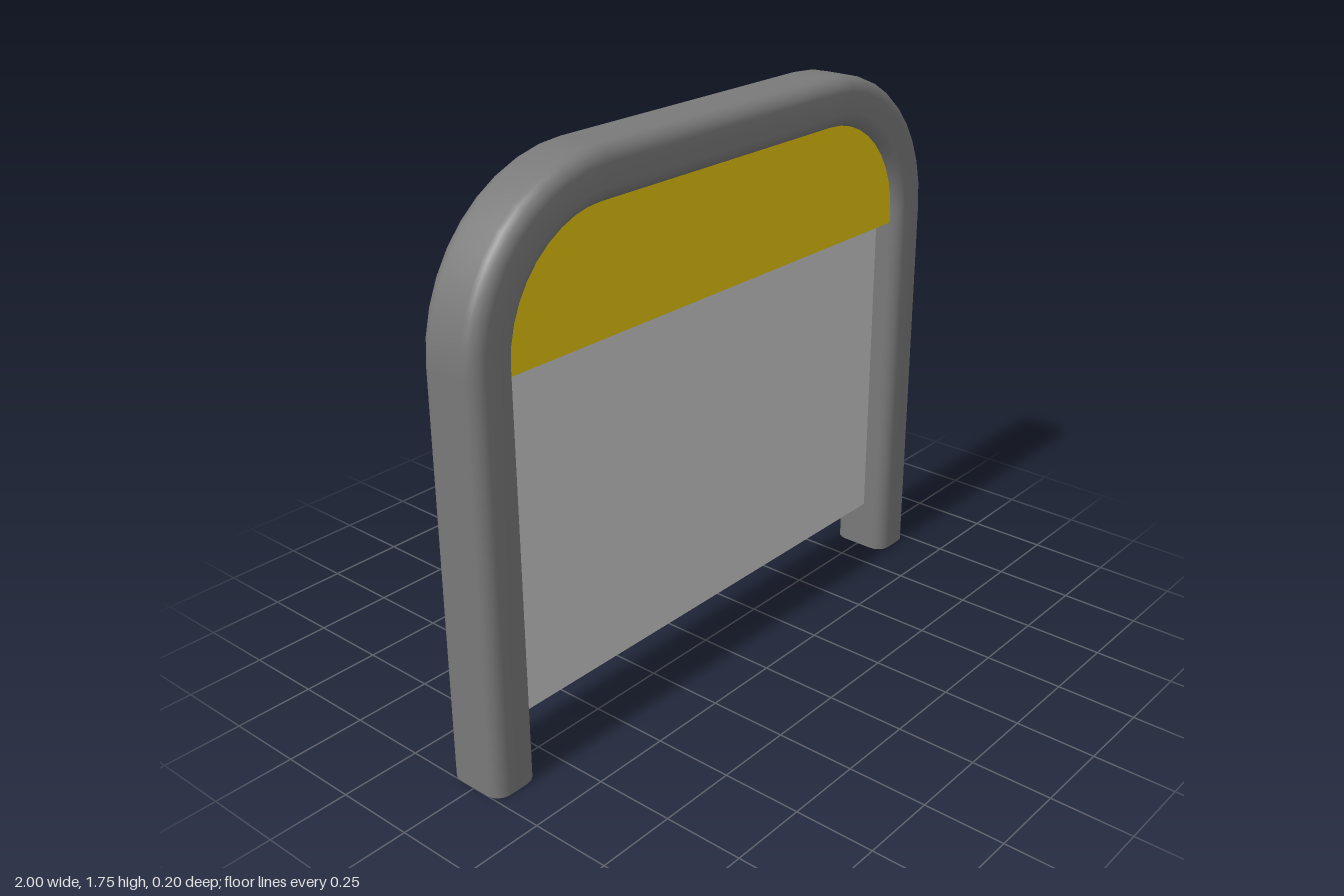
import * as THREE from 'three';

const BEND = 0.5;      // outer bend radius, centred at (±0.5, 1.25)
const TUBE = 0.155;    // tube width seen from the front
const DEPTH = 0.2;     // tube depth
const ROUND = 0.045;   // rounding of the tube's edges
const SPRING = 1.25;   // height where the legs start to bend
const STEPS = 10;

// Rounded rectangle cross-section, counter-clockwise in (outward, z)
function tubeSection() {
  const pts = [];
  const corners = [[1, 1], [-1, 1], [-1, -1], [1, -1]];
  corners.forEach(([sx, sz], q) => {
    for (let k = 0; k <= 4; k++) {
      const a = (q + k / 4) * Math.PI / 2;
      pts.push([
        sx * (TUBE / 2 - ROUND) + ROUND * Math.cos(a),
        sz * (DEPTH / 2 - ROUND) + ROUND * Math.sin(a),
      ]);
    }
  });
  return pts;
}

// Stations along the arch: centre position and outward direction
function archStations() {
  const r = BEND - TUBE / 2;
  const stations = [{ x: -0.5 - r, y: 0, nx: -1, ny: 0 }];
  for (const side of [-1, 1]) {
    for (let k = 0; k <= STEPS; k++) {
      const t = (k / STEPS) * Math.PI / 2;
      const a = side < 0 ? Math.PI - t : Math.PI / 2 - t;
      const nx = Math.cos(a), ny = Math.sin(a);
      stations.push({ x: side * 0.5 + r * nx, y: SPRING + r * ny, nx, ny });
    }
  }
  stations.push({ x: 0.5 + r, y: 0, nx: 1, ny: 0 });
  return stations;
}

// Bent tube with open feet
function frameGeometry() {
  const section = tubeSection(), stations = archStations();
  const n = section.length, pos = [], index = [];
  stations.forEach((s, i) => {
    for (const [u, z] of section) pos.push(s.x + s.nx * u, s.y + s.ny * u, z);
    if (i === 0) return;
    for (let j = 0; j < n; j++) {
      const k = (j + 1) % n, p = (i - 1) * n, c = i * n;
      index.push(p + j, p + k, c + k, p + j, c + k, c + j);
    }
  });
  const geo = new THREE.BufferGeometry();
  geo.setAttribute('position', new THREE.Float32BufferAttribute(pos, 3));
  geo.setIndex(index);
  geo.computeVertexNormals();
  return geo;
}

// Board filling the arch, its rim tucked into the tube
function headerGeometry(bottom, thickness) {
  const r = BEND - TUBE + 0.03;
  const shape = new THREE.Shape();
  shape.moveTo(-0.5 - r, bottom);
  shape.lineTo(0.5 + r, bottom);
  shape.lineTo(0.5 + r, SPRING);
  shape.absarc(0.5, SPRING, r, 0, Math.PI / 2, false);
  shape.absarc(-0.5, SPRING, r, Math.PI / 2, Math.PI, false);
  shape.closePath();
  const geo = new THREE.ExtrudeGeometry(shape, { depth: thickness, bevelEnabled: false, curveSegments: STEPS });
  geo.translate(0, 0, -thickness / 2);
  return geo;
}

export function createModel() {
  const group = new THREE.Group();
  const add = (name, geometry, material) => {
    const mesh = new THREE.Mesh(geometry, material);
    mesh.name = name;
    group.add(mesh);
    return mesh;
  };

  // Dark tubular frame
  add('frame', frameGeometry(), new THREE.MeshStandardMaterial({ color: 0x797979, side: THREE.DoubleSide }));

  // Yellow header board
  add('headerBoard', headerGeometry(1.215, 0.14), new THREE.MeshStandardMaterial({ color: 0xe5c60e }));

  // Thin infill panel between the legs
  const bottom = 0.165, top = 1.22;
  const panel = add('infillPanel', new THREE.BoxGeometry(1.72, top - bottom, 0.04),
    new THREE.MeshStandardMaterial({ color: 0xcccccc }));
  panel.position.y = (top + bottom) / 2;

  return group;
}
